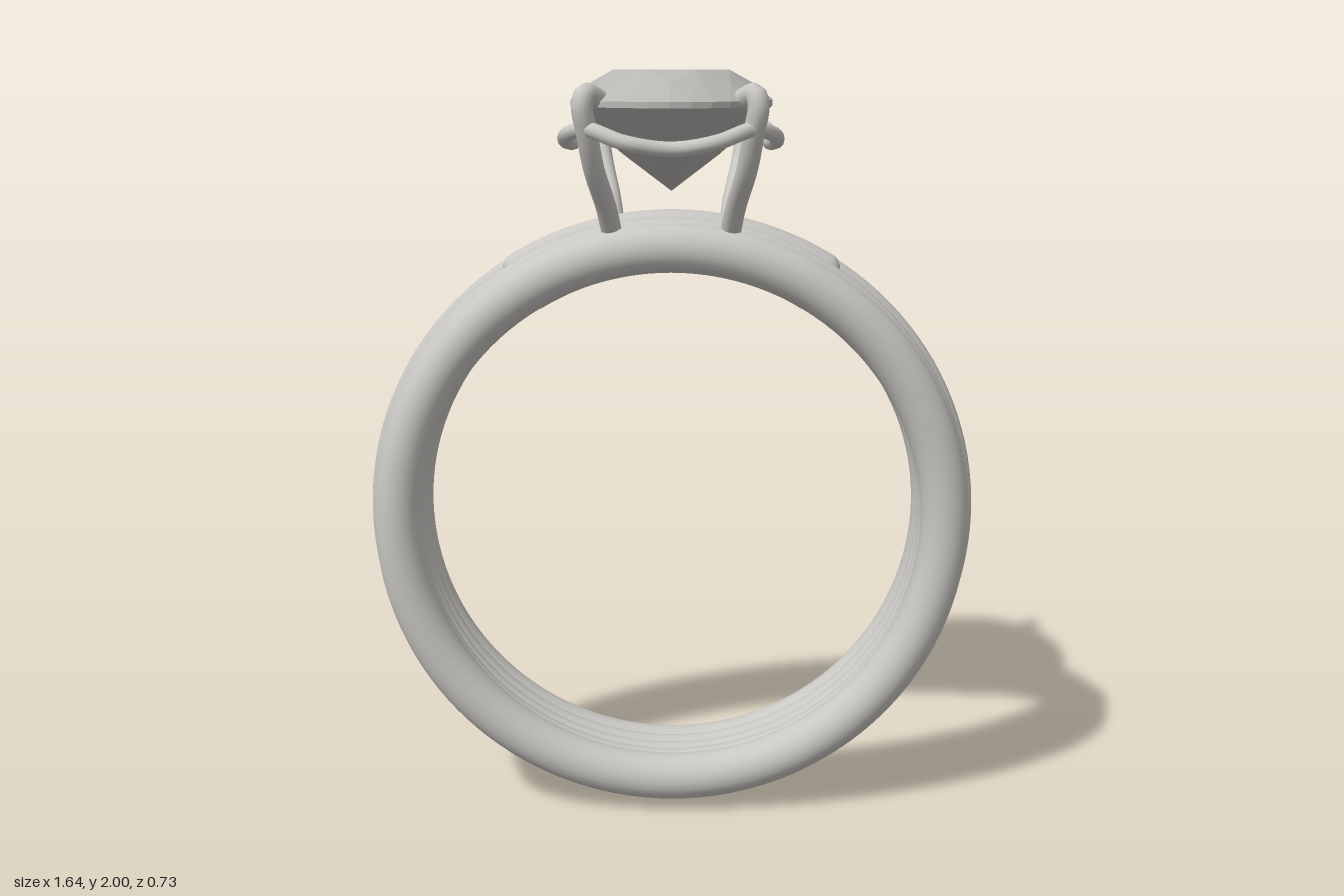
import * as THREE from 'three';
import { ConvexGeometry } from 'three/addons/geometries/ConvexGeometry.js';

const CENTRE_Y = 0.82;

export function createModel() {
  const group = new THREE.Group();
  const metal = new THREE.MeshStandardMaterial({ color: 0xc9c7c3 });
  metal.name = 'silver';
  const stone = new THREE.MeshStandardMaterial({ color: 0xb8b6b3 });
  stone.name = 'stone grey';

  const add = (name, geometry, material, parent = group) => {
    const mesh = new THREE.Mesh(geometry, material);
    mesh.name = name;
    parent.add(mesh);
    return mesh;
  };

  // Band: five wires of oval section, fused side by side
  const band = new THREE.Group();
  band.name = 'band';
  band.position.y = CENTRE_Y;
  group.add(band);
  const wire = (name, radius, radial, width, z) => {
    const geo = new THREE.TorusGeometry(radius, radial, 24, 128);
    geo.scale(1, 1, width / radial);
    geo.translate(0, 0, z);
    add(name, geo, metal, band);
  };
  wire('centreWire', 0.746, 0.072, 0.042, 0);
  for (const s of [-1, 1]) {
    wire('middleWire', 0.738, 0.065, 0.047, 0.05 * s);
    wire('edgeWire', 0.73, 0.063, 0.063, 0.1 * s);
  }

  // Pad: boxy arc under the setting, with rounded ends
  const R = 0.74, arc = THREE.MathUtils.degToRad(70);
  const pad = new THREE.TorusGeometry(R, 1, 32, 80, arc);
  const pos = pad.attributes.position;
  const boxy = (v) => Math.sign(v) * Math.pow(Math.abs(v), 0.65);
  const cols = 81;
  for (let i = 0; i < pos.count; i++) {
    const u = (i % cols) / 80;
    const v = (Math.floor(i / cols) / 32) * Math.PI * 2;
    const end = Math.min(1, Math.min(u, 1 - u) / 0.05);
    const taper = Math.sqrt(Math.max(0, 1 - (1 - end) ** 2));
    const a = Math.PI / 2 + (u - 0.5) * arc;
    const r = R + 0.082 * Math.cos(v) * taper;
    pos.setXYZ(i, r * Math.cos(a), r * Math.sin(a), 0.068 * boxy(Math.sin(v)) * taper);
  }
  pad.computeVertexNormals();
  add('pad', pad, metal, band);

  // Four prongs, each hooking over the stone
  const prongPath = [
    [0.15, 1.57, 0.075], [0.165, 1.66, 0.145], [0.19, 1.76, 0.232],
    [0.204, 1.85, 0.278], [0.214, 1.915, 0.294], [0.206, 1.942, 0.284], [0.182, 1.932, 0.25],
  ];
  for (const sx of [-1, 1]) for (const sz of [-1, 1]) {
    const prong = new THREE.Group();
    prong.name = 'prong';
    group.add(prong);
    const pts = prongPath.map(([x, y, z]) => new THREE.Vector3(x * sx, y, z * sz));
    add('prongWire', new THREE.TubeGeometry(new THREE.CatmullRomCurve3(pts), 40, 0.027, 14), metal, prong);
    const tip = add('prongTip', new THREE.SphereGeometry(0.027, 16, 12), metal, prong);
    tip.position.copy(pts[pts.length - 1]);
  }

  // Gallery rail: closed wavy loop, high at the prongs and low between them
  const quarter = [
    [0.256, 1.815, 0], [0.268, 1.825, 0.12], [0.254, 1.845, 0.22],
    [0.2, 1.858, 0.292], [0.11, 1.828, 0.332], [0, 1.812, 0.322],
  ];
  const half = [...quarter, ...quarter.slice(0, -1).reverse().map(([x, y, z]) => [-x, y, z])];
  const loop = [...half, ...half.slice(1, -1).reverse().map(([x, y, z]) => [x, y, -z])];
  const railCurve = new THREE.CatmullRomCurve3(loop.map((p) => new THREE.Vector3(...p)), true);
  add('galleryRail', new THREE.TubeGeometry(railCurve, 140, 0.019, 12, true), metal);

  // Oval faceted stone: table, crown, girdle, pavilion and point
  const points = [new THREE.Vector3(0, 1.69, 0)];
  const ring = (n, scale, y, offset) => {
    for (let i = 0; i < n; i++) {
      const a = ((i + offset) / n) * Math.PI * 2;
      points.push(new THREE.Vector3(0.262 * scale * Math.cos(a), y, 0.365 * scale * Math.sin(a)));
    }
  };
  ring(8, 0.61, 2.0, 0.5);
  ring(8, 0.8, 1.967, 0);
  ring(32, 1, 1.925, 0);
  ring(32, 1, 1.91, 0);
  ring(8, 0.52, 1.79, 0.5);
  add('stone', new ConvexGeometry(points), stone);

  return group;
}
